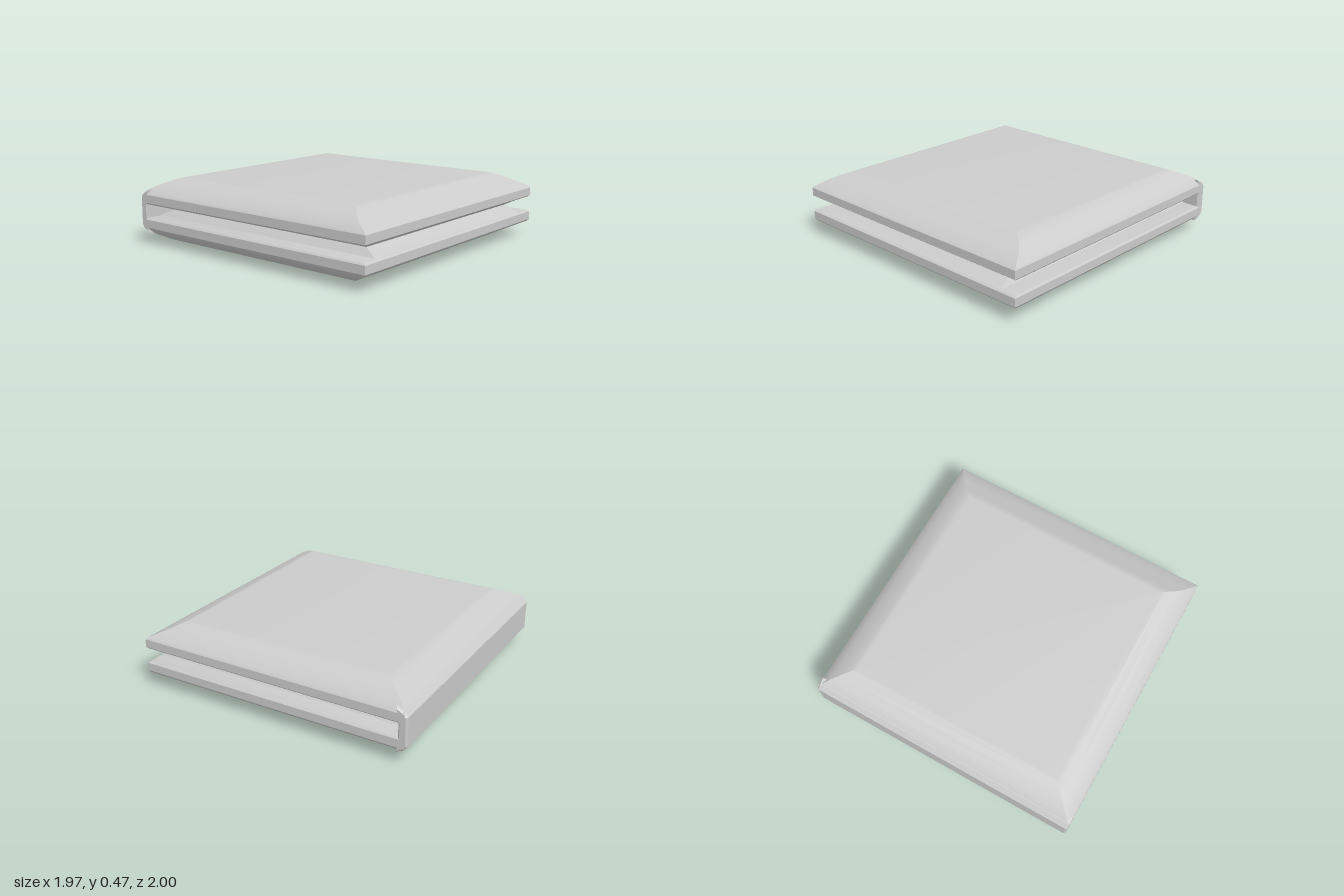
import * as THREE from 'three';
import { toCreasedNormals } from 'three/addons/utils/BufferGeometryUtils.js';

const HEIGHT = 0.465;
const material = new THREE.MeshStandardMaterial({ color: 0xcccccc });

// Rectangular rings of the upper pad: [half width, back z, front z, y]
const RINGS = [
  [0.82, -0.83, 0.88, 0.2325],
  [0.86, -0.95, 0.975, 0.28],
  [0.975, -0.97, 0.985, 0.282],
  [0.985, -0.98, 1.0, 0.293],
  [0.985, -0.98, 1.0, 0.35],
  [0.975, -0.97, 0.985, 0.365],
  [0.92, -0.915, 0.9, 0.405],
  [0.86, -0.85, 0.835, 0.437],
  [0.8, -0.79, 0.785, 0.462],
  [0.77, -0.76, 0.76, HEIGHT],
];

// Loft through the rings, capped at both ends; flip mirrors it top to bottom
function padGeometry(flip) {
  const positions = [];
  const index = [];
  for (const [w, back, front, y] of RINGS) {
    const h = flip ? HEIGHT - y : y;
    positions.push(-w, h, front, w, h, front, w, h, back, -w, h, back);
  }
  const tri = (a, b, c) => (flip ? index.push(a, c, b) : index.push(a, b, c));
  const quad = (a, b, c, d) => { tri(a, b, c); tri(a, c, d); };
  for (let r = 0; r < RINGS.length - 1; r++) {
    for (let i = 0; i < 4; i++) {
      const a = r * 4 + i;
      const b = r * 4 + ((i + 1) % 4);
      quad(a, b, b + 4, a + 4);
    }
  }
  const top = (RINGS.length - 1) * 4;
  quad(3, 2, 1, 0);
  quad(top, top + 1, top + 2, top + 3);
  const geometry = new THREE.BufferGeometry();
  geometry.setAttribute('position', new THREE.Float32BufferAttribute(positions, 3));
  geometry.setIndex(index);
  return toCreasedNormals(geometry, 0.4);
}

// Bar that joins both pads along the back, with chamfered outer edges
function spineGeometry() {
  const half = [[-0.935, 0.28], [-0.925, 0.34], [-0.92, 0.388], [-0.965, 0.37], [-1, 0.335]];
  const mirrored = half.map(([z, y]) => [z, HEIGHT - y]).reverse();
  const shape = new THREE.Shape([...half, ...mirrored].map(([z, y]) => new THREE.Vector2(-z, y)));
  const bevel = 0.012;
  const geometry = new THREE.ExtrudeGeometry(shape, {
    depth: 1.97 - 2 * bevel,
    bevelSize: bevel,
    bevelThickness: bevel,
    bevelOffset: -bevel,
    bevelSegments: 1,
  });
  geometry.translate(0, 0, -0.985 + bevel);
  geometry.rotateY(Math.PI / 2);
  return geometry;
}

export function createModel() {
  const group = new THREE.Group();
  group.name = 'foldedPad';
  const add = (name, geometry) => {
    const mesh = new THREE.Mesh(geometry, material);
    mesh.name = name;
    group.add(mesh);
  };
  add('upperPad', padGeometry(false));
  add('lowerPad', padGeometry(true));
  add('spine', spineGeometry());
  return group;
}
